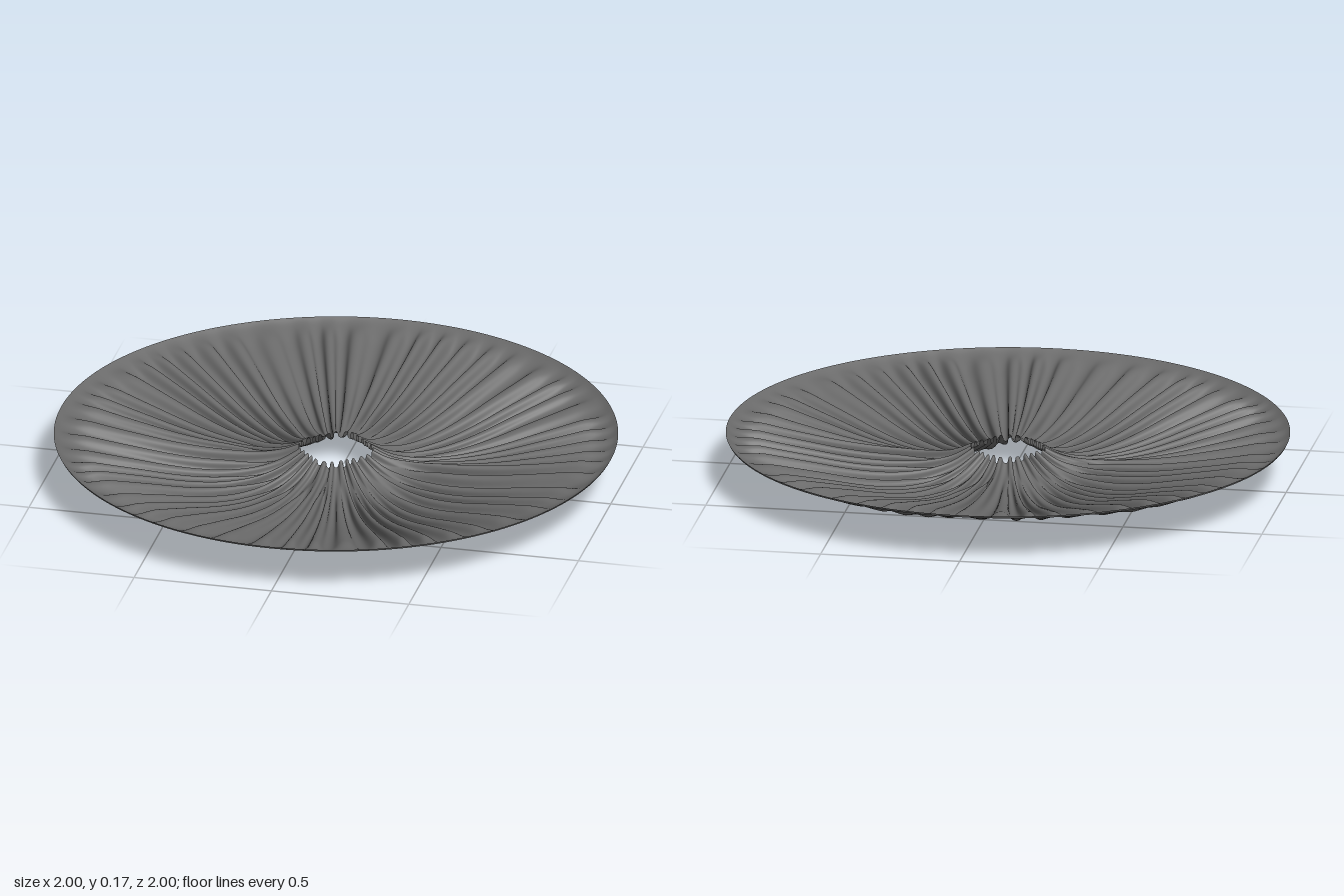
import * as THREE from 'three';

const TOP = 0.175;      // height of the flat rim
const AROUND = 1200;    // steps around the disc
const ALONG = 50;       // steps from hole to rim
const FOLDS = 54;       // folds near the rim, gathered in pairs at the hole

const { lerp, clamp, smoothstep } = THREE.MathUtils;

// Radius/height profiles of the sagging cloth: pinched axes and deeper diagonal lobes
const toCurve = (points) => new THREE.SplineCurve(points.map(([r, y]) => new THREE.Vector2(r, y)));
const axisProfile = toCurve([
  [0.133, 0.112], [0.2, 0.088], [0.3, 0.078], [0.4, 0.078], [0.5, 0.083],
  [0.6, 0.093], [0.7, 0.108], [0.8, 0.125], [0.9, 0.145], [0.97, 0.159], [1, TOP],
]);
const lobeProfile = toCurve([
  [0.115, 0.112], [0.2, 0.062], [0.3, 0.03], [0.4, 0.022], [0.5, 0.034],
  [0.6, 0.057], [0.7, 0.086], [0.8, 0.114], [0.9, 0.141], [0.97, 0.158], [1, TOP],
]);

// Irregular gathered pleats: phase of the fold at an angle
const foldPhase = (a) => FOLDS * a + 1.2 * Math.sin(5 * a + 0.6) + 0.8 * Math.sin(11 * a + 2) + 0.5 * Math.sin(17 * a);

// Fold height: nearly even along its length, flattened at the rim
function foldHeight(a, r) {
  const fade = 1 - smoothstep(r, 0.87, 1);
  const variation = 0.8 + 0.2 * Math.sin(9 * a + 1) * Math.sin(4 * a + 0.5);
  return 0.021 * fade * variation * lerp(0.7, 1, smoothstep(r, 0.12, 0.4));
}

function clothGeometry() {
  const positions = [];
  const indices = [];
  const axis = axisProfile.getPoints(ALONG);
  const lobe = lobeProfile.getPoints(ALONG);

  for (let j = 0; j <= ALONG; j++) {
    for (let i = 0; i < AROUND; i++) {
      const a = (i / AROUND) * Math.PI * 2;
      const sag = Math.pow(Math.abs(Math.sin(2 * a)), 0.85);
      // the hole is a soft diamond, so its radius blends smoothly
      const r = lerp(axis[j].x, lobe[j].x, Math.sin(2 * a) ** 2);
      const base = lerp(axis[j].y, lobe[j].y, sag);
      // pairs of folds merge into one towards the hole
      const phase = foldPhase(a);
      const split = smoothstep(r, 0.13, 0.42);
      const wave = lerp(Math.sin(phase / 2), Math.sin(phase), split);
      const y = clamp(base + wave * foldHeight(a, r), 0, TOP);
      // fold walls are pulled together into creases, tightest near the hole
      const crease = 0.45 - 0.35 * smoothstep(r, 0.35, 1);
      const pull = lerp(1.6 * Math.sin(phase), Math.sin(2 * phase), split);
      const angle = a - (crease * pull) / FOLDS;
      positions.push(r * Math.cos(angle), y, r * Math.sin(angle));

      if (j < ALONG) {
        const p = j * AROUND + i, q = j * AROUND + ((i + 1) % AROUND);
        indices.push(p, q, p + AROUND, q, q + AROUND, p + AROUND);
      }
    }
  }
  const geometry = new THREE.BufferGeometry();
  geometry.setAttribute('position', new THREE.Float32BufferAttribute(positions, 3));
  geometry.setIndex(indices);
  geometry.computeVertexNormals();
  return geometry;
}

export function createModel() {
  const group = new THREE.Group();
  group.name = 'pleatedCloth';
  const fabric = new THREE.MeshStandardMaterial({ color: 0x6a6a6a, side: THREE.DoubleSide });
  fabric.name = 'greyFabric';

  const cloth = new THREE.Mesh(clothGeometry(), fabric);
  cloth.name = 'gatheredCloth';
  group.add(cloth);

  // Thin hem around the rim
  const hem = new THREE.Mesh(new THREE.CylinderGeometry(1, 0.996, 0.008, 200, 1, true), fabric);
  hem.name = 'rimHem';
  hem.position.y = TOP - 0.004;
  group.add(hem);
  return group;
}
